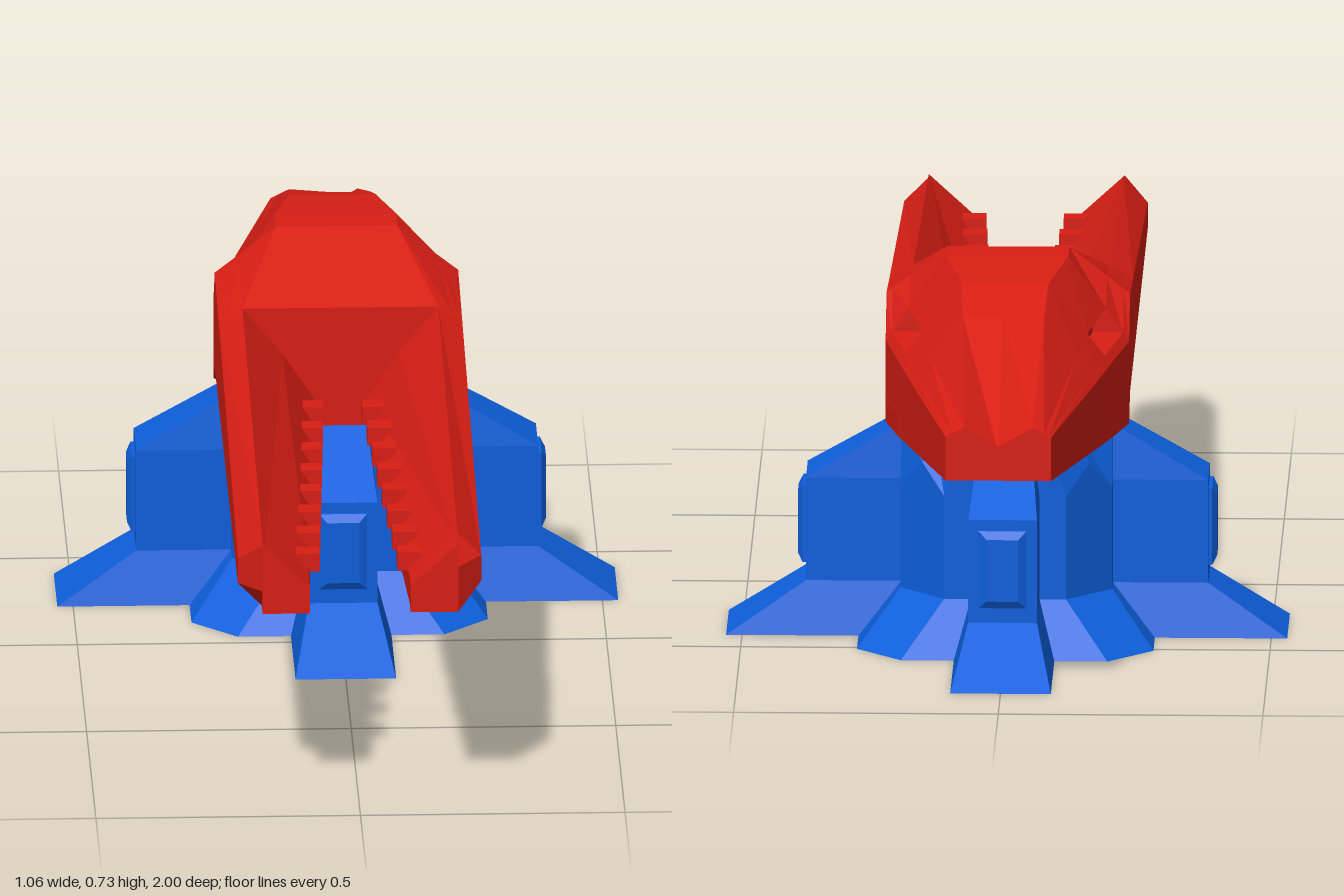
import * as THREE from 'three';

const RED = new THREE.MeshStandardMaterial({ color: 0xd81e14, flatShading: true });
const BLUE = new THREE.MeshStandardMaterial({ color: 0x0d5fdc, flatShading: true });

// Skin a list of closed rings of [x, y, z]; rings run anticlockwise seen from the first ring's end.
function loft(rings) {
  const out = [];
  const n = rings[0].length;
  const tri = (a, b, c) => out.push(...a, ...b, ...c);
  for (let i = 0; i < rings.length - 1; i++) {
    for (let j = 0; j < n; j++) {
      const k = (j + 1) % n;
      const a = rings[i][j], b = rings[i][k], c = rings[i + 1][k], d = rings[i + 1][j];
      tri(a, d, c);
      tri(a, c, b);
    }
  }
  const cap = (ring, flip) => {
    const mid = [0, 1, 2].map(q => ring.reduce((s, p) => s + p[q], 0) / n);
    ring.forEach((p, j) => {
      const next = ring[(j + 1) % n];
      flip ? tri(mid, next, p) : tri(mid, p, next);
    });
  };
  cap(rings[0], false);
  cap(rings[rings.length - 1], true);
  const g = new THREE.BufferGeometry();
  g.setAttribute('position', new THREE.Float32BufferAttribute(out, 3));
  g.computeVertexNormals();
  return g;
}

function add(parent, name, geometry, material) {
  const mesh = new THREE.Mesh(geometry, material);
  mesh.name = name;
  parent.add(mesh);
  return mesh;
}

// Four-armed ring: three [x, z] corners of an eighth plus the diagonal point.
function crossRing(y, corners, diagonal, diagonalY = y) {
  const quarter = [
    ...corners.map(([x, z]) => [x, y, z]),
    [diagonal, diagonalY, diagonal],
    ...corners.slice().reverse().map(([x, z]) => [z, y, x]),
  ];
  const ring = [];
  let pts = quarter;
  for (let i = 0; i < 4; i++) {
    ring.push(...pts);
    pts = pts.map(([x, py, z]) => [z, py, -x]);
  }
  return ring;
}

function createBase() {
  const base = new THREE.Group();
  base.name = 'base';
  const wall = [[0.065, 0.38], [0.065, 0.2], [0.115, 0.2]];
  add(base, 'pedestal', loft([
    crossRing(0.405, [[0.05, 0.2], [0.05, 0.2], [0.08, 0.2]], 0.135),
    crossRing(0.3, wall, 0.1575, 0.355),
    crossRing(0.1, wall, 0.1575),
    crossRing(0, [[0.095, 0.53], [0.095, 0.28], [0.195, 0.28]], 0.2375),
  ]), BLUE);

  // Bevelled panel on the end of each arm
  const rect = (w, h, z) => [[-w, -h, z], [w, -h, z], [w, h, z], [-w, h, z]];
  const panel = loft([rect(0.03, 0.06, 0.396), rect(0.045, 0.075, 0.387), rect(0.045, 0.075, 0.37)]);
  for (let i = 0; i < 4; i++) {
    const m = add(base, 'armPanel', panel, BLUE);
    m.position.y = 0.205;
    m.rotation.y = i * Math.PI / 2;
  }
  base.position.z = -0.315;
  return base;
}

// Head section: bottom edge, lower side, side crease, roof edge, roof centre; optional socket.
function headRing(z, [bottom, low, crease, roof, top], socket = false) {
  const mix = t => crease.map((v, q) => v + (roof[q] - v) * t);
  const e1 = mix(0.1), e2 = mix(0.38);
  const depth = e2[0] - 0.025;
  const half = [
    bottom, low, crease, e1,
    socket ? [depth, e1[1]] : e1,
    socket ? [depth, e2[1]] : e2,
    e2, roof,
  ];
  return [
    [0, bottom[1], z],
    ...half.map(([x, y]) => [x, y, z]),
    [0, top, z],
    ...half.slice().reverse().map(([x, y]) => [-x, y, z]),
  ];
}

function createHead() {
  const brow = [[0.23, 0.405], [0.23, 0.45], [0.23, 0.565], [0.115, 0.73], 0.73];
  const crown = [[0.203, 0.417], [0.203, 0.455], [0.2, 0.56], [0.082, 0.715], 0.715];
  return loft([
    headRing(-0.08, [[0.185, 0.405], [0.23, 0.45], [0.23, 0.615], [0.185, 0.64], 0.64]),
    headRing(-0.29, [[0.185, 0.405], [0.23, 0.45], [0.23, 0.64], [0.115, 0.73], 0.73]),
    headRing(-0.36, brow),
    headRing(-0.361, brow, true),
    headRing(-0.514, crown, true),
    headRing(-0.515, crown),
    headRing(-0.63, [[0.178, 0.425], [0.178, 0.46], [0.178, 0.556], [0.077, 0.68], 0.68]),
    headRing(-1, [[0.1, 0.455], [0.1, 0.48], [0.1, 0.54], [0.065, 0.558], 0.51]),
  ]);
}

function createJaw(side) {
  const jaw = new THREE.Group();
  jaw.name = side > 0 ? 'leftJaw' : 'rightJaw';
  const ring = (z, pts) => {
    const r = pts.map(([x, y]) => [x * side, y, z]);
    return side > 0 ? r : r.reverse();
  };
  add(jaw, 'jawBeam', loft([
    ring(1, [[0.095, 0.405], [0.185, 0.405], [0.185, 0.45], [0.185, 0.495], [0.185, 0.54], [0.18, 0.535], [0.095, 0.457]]),
    ring(0.95, [[0.095, 0.405], [0.185, 0.405], [0.23, 0.45], [0.23, 0.5], [0.185, 0.545], [0.178, 0.537], [0.095, 0.457]]),
    ring(-0.08, [[0.05, 0.405], [0.185, 0.405], [0.23, 0.45], [0.23, 0.615], [0.185, 0.64], [0.11, 0.55], [0.05, 0.46]]),
  ]), RED);

  // Row of teeth along the inner edge
  const tooth = new THREE.BoxGeometry(0.045, 0.036, 0.042);
  for (let i = 0; i < 8; i++) {
    const z = 0.88 - i * 0.12;
    const edge = 0.05 + (z + 0.08) / 1.03 * 0.045;
    add(jaw, 'tooth', tooth, RED).position.set(side * (edge + 0.004), 0.472, z);
  }
  return jaw;
}

export function createModel() {
  const model = new THREE.Group();
  model.name = 'jawedTurret';
  model.add(createBase());
  add(model, 'head', createHead(), RED);
  model.add(createJaw(1), createJaw(-1));
  return model;
}
